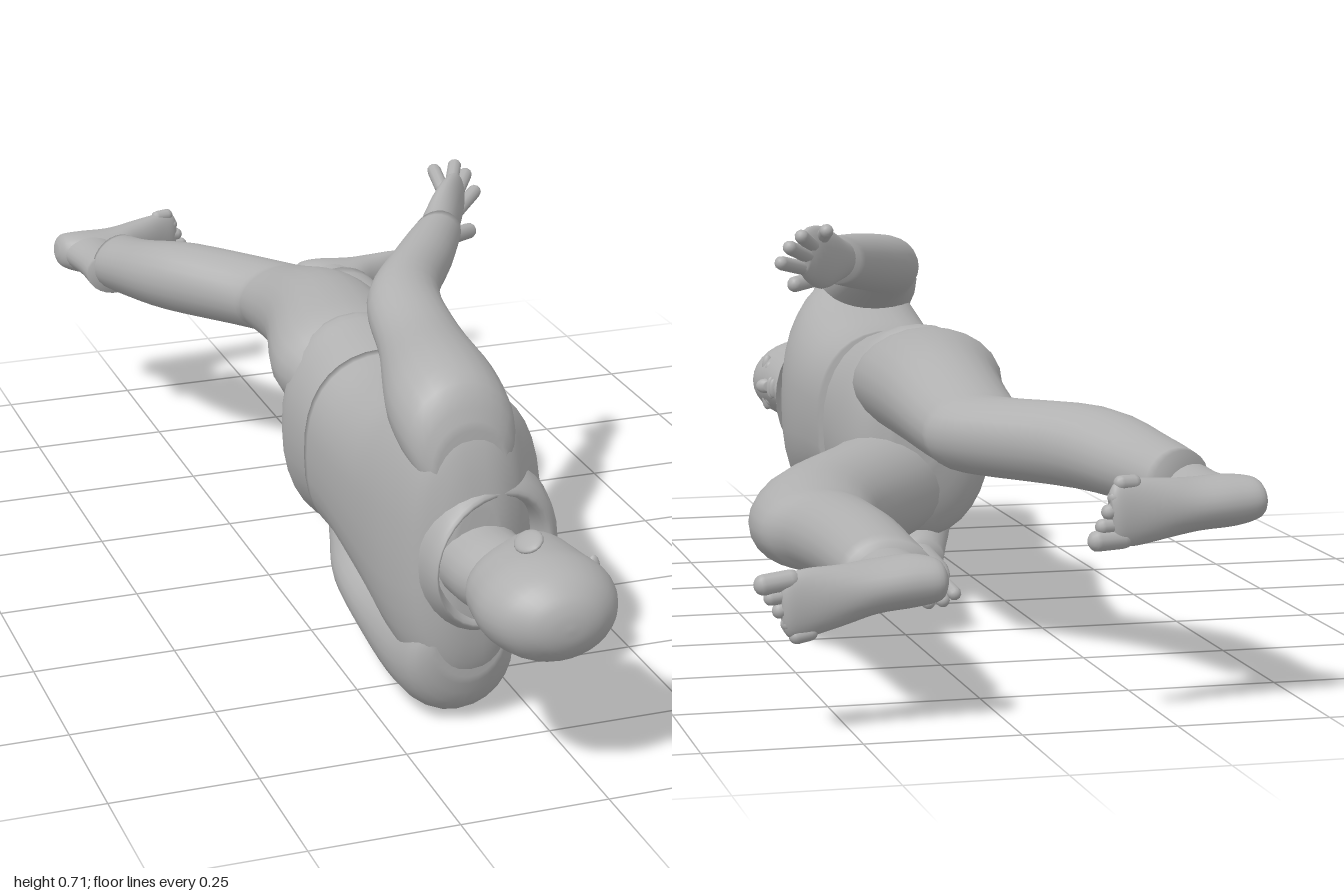
import * as THREE from 'three';

const grey = new THREE.MeshStandardMaterial({ color: 0xb0b0b0, side: THREE.DoubleSide });
grey.name = 'plain grey';

const V = (x, y, z) => new THREE.Vector3(x, y, z);

function add(parent, name, geometry) {
  const mesh = new THREE.Mesh(geometry, grey);
  mesh.name = name;
  parent.add(mesh);
  return mesh;
}

// Smooth skin through elliptical rings [x, y, z, r1, r2, tilt].
// axis 'z': r1 along x, r2 along y. axis 'x': r1 along y, r2 along z.
function loft(rings, { axis = 'z', caps = true, steps = 4, sides = 24, power = 1 } = {}) {
  const pos = [], idx = [];
  const n = (rings.length - 1) * steps;
  const at = (t, k) => {
    const i = Math.min(Math.floor(t), rings.length - 2), f = t - i;
    const p = j => rings[Math.max(0, Math.min(rings.length - 1, j))][k] || 0;
    const m0 = (p(i + 1) - p(i - 1)) / 2, m1 = (p(i + 2) - p(i)) / 2;
    const f2 = f * f, f3 = f2 * f;
    return (2 * f3 - 3 * f2 + 1) * p(i) + (f3 - 2 * f2 + f) * m0 + (3 * f2 - 2 * f3) * p(i + 1) + (f3 - f2) * m1;
  };
  const bend = c => Math.sign(c) * Math.pow(Math.abs(c), power);
  for (let r = 0; r <= n; r++) {
    const [x, y, z, a, b, tilt] = [0, 1, 2, 3, 4, 5].map(k => at(r / steps, k));
    for (let s = 0; s < sides; s++) {
      const w = s / sides * Math.PI * 2, c = bend(Math.cos(w)), d = bend(Math.sin(w));
      if (axis === 'z') pos.push(x + a * c, y + b * d, z + tilt * c);
      else pos.push(x, y + a * c, z + b * d);
      if (r < n) {
        const i = r * sides + s, j = r * sides + (s + 1) % sides;
        idx.push(i, j, i + sides, j, j + sides, i + sides);
      }
    }
  }
  if (caps) {
    for (const [row, e] of [[0, rings[0]], [n, rings[rings.length - 1]]]) {
      const centre = pos.length / 3;
      pos.push(e[0], e[1], e[2]);
      for (let s = 0; s < sides; s++) {
        const i = row * sides + s, j = row * sides + (s + 1) % sides;
        row ? idx.push(i, j, centre) : idx.push(j, i, centre);
      }
    }
  }
  // Turn the faces outward whichever way the rings run
  const dir = axis === 'z' ? rings[rings.length - 1][2] - rings[0][2] : rings[rings.length - 1][0] - rings[0][0];
  if (dir < 0) for (let i = 0; i < idx.length; i += 3) [idx[i], idx[i + 1]] = [idx[i + 1], idx[i]];
  const g = new THREE.BufferGeometry();
  g.setAttribute('position', new THREE.Float32BufferAttribute(pos, 3));
  g.setIndex(idx);
  g.computeVertexNormals();
  return g;
}

// Rounded rod between two points, for fingers and toes
function rod(parent, name, a, b, r) {
  const d = b.clone().sub(a);
  const mesh = add(parent, name, new THREE.CapsuleGeometry(r, Math.max(d.length() - r, 0.005), 4, 10));
  mesh.position.copy(a).addScaledVector(d, 0.5);
  mesh.quaternion.setFromUnitVectors(V(0, 1, 0), d.normalize());
}

function ball(parent, name, x, y, z, sx, sy, sz) {
  const mesh = add(parent, name, new THREE.SphereGeometry(1, 16, 12));
  mesh.position.set(x, y, z);
  mesh.scale.set(sx, sy, sz);
  return mesh;
}

// Foot with toes toward +x and sole toward -z; side gives the outer direction in y
function makeFoot(name, side) {
  const foot = new THREE.Group();
  foot.name = name;
  add(foot, 'footBody', loft([
    [-0.08, 0, -0.085, 0.012, 0.015], [-0.068, 0, -0.082, 0.032, 0.037], [-0.03, 0, -0.07, 0.041, 0.053],
    [0.03, side * 0.003, -0.071, 0.042, 0.054], [0.085, side * 0.008, -0.088, 0.047, 0.037],
    [0.14, side * 0.012, -0.1, 0.053, 0.024], [0.172, side * 0.014, -0.106, 0.05, 0.017],
    [0.185, side * 0.012, -0.107, 0.036, 0.01]], { axis: 'x' }));
  add(foot, 'ankle', loft([[-0.012, 0, 0.08, 0.056, 0.042], [-0.012, 0, 0.01, 0.053, 0.037], [-0.014, 0, -0.06, 0.058, 0.038]]));
  for (let i = 0; i < 5; i++) {
    const y = side * (-0.026 + i * 0.021), r = i ? 0.0125 : 0.017;
    rod(foot, 'toe', V(0.16 - i * 0.006, y, -0.102), V(0.217 - i * 0.012, y + side * 0.004, -0.107), r);
  }
  return foot;
}

export function createModel() {
  const man = new THREE.Group();
  man.name = 'lyingMan';

  // Jacket body and trouser seat
  add(man, 'torso', loft([
    [-0.09, 0.315, 0.185, 0.153, 0.174, -0.012], [-0.09, 0.315, 0.3, 0.156, 0.172], [-0.09, 0.313, 0.45, 0.16, 0.2],
    [-0.097, 0.312, 0.56, 0.151, 0.238], [-0.112, 0.312, 0.63, 0.124, 0.25], [-0.118, 0.312, 0.68, 0.098, 0.228],
    [-0.117, 0.31, 0.705, 0.067, 0.17], [-0.115, 0.31, 0.718, 0.04, 0.09]], { sides: 36, power: 0.82 }));
  add(man, 'trouserSeat', loft([
    [-0.09, 0.315, 0.22, 0.147, 0.167], [-0.095, 0.315, 0.12, 0.147, 0.188], [-0.1, 0.315, 0.05, 0.137, 0.196],
    [-0.09, 0.315, 0.01, 0.1, 0.14], [-0.08, 0.315, -0.01, 0.04, 0.06]], { sides: 32, power: 0.92 }));

  // Trouser legs, one trailing and one striding
  add(man, 'leftLeg', loft([
    [-0.1, 0.385, 0.16, 0.09, 0.06], [-0.104, 0.405, 0.08, 0.124, 0.088], [-0.105, 0.415, 0, 0.135, 0.1],
    [-0.08, 0.413, -0.2, 0.11, 0.093], [-0.083, 0.386, -0.38, 0.094, 0.073], [-0.1, 0.38, -0.44, 0.095, 0.068],
    [-0.225, 0.38, -0.6, 0.087, 0.07], [-0.285, 0.362, -0.74, 0.07, 0.059], [-0.309, 0.353, -0.825, 0.058, 0.053, -0.033]]));
  add(man, 'rightLeg', loft([
    [-0.08, 0.238, 0.16, 0.09, 0.06], [-0.03, 0.222, 0.08, 0.124, 0.088], [0.005, 0.215, 0, 0.13, 0.1],
    [0.145, 0.213, -0.2, 0.12, 0.093], [0.18, 0.217, -0.35, 0.106, 0.074], [0.168, 0.219, -0.43, 0.088, 0.072],
    [0.163, 0.225, -0.6, 0.08, 0.067], [0.168, 0.228, -0.83, 0.072, 0.055, 0.004]]));

  const leftFoot = makeFoot('leftFoot', 1);
  leftFoot.position.set(-0.318, 0.34, -0.866);
  leftFoot.rotation.set(0, 0.08, -0.1);
  const rightFoot = makeFoot('rightFoot', -1);
  rightFoot.position.set(0.182, 0.232, -0.843);
  rightFoot.rotation.z = -0.05;
  man.add(leftFoot, rightFoot);

  // Sleeves
  add(man, 'leftSleeve', loft([
    [-0.12, 0.46, 0.695, 0.06, 0.07], [-0.124, 0.505, 0.66, 0.092, 0.095], [-0.124, 0.54, 0.57, 0.098, 0.09],
    [-0.1, 0.57, 0.4, 0.075, 0.06], [-0.082, 0.605, 0.26, 0.066, 0.056], [-0.005, 0.625, 0.14, 0.058, 0.051],
    [0.058, 0.638, 0.045, 0.046, 0.044]]));
  add(man, 'rightSleeve', loft([
    [-0.12, 0.165, 0.695, 0.06, 0.07], [-0.124, 0.12, 0.66, 0.092, 0.097], [-0.124, 0.093, 0.57, 0.098, 0.091],
    [-0.14, 0.086, 0.4, 0.075, 0.063], [-0.14, 0.105, 0.25, 0.068, 0.05], [-0.11, 0.1, 0.1, 0.055, 0.044],
    [-0.085, 0.092, -0.02, 0.043, 0.037]]));

  // Hands: palm, then four fingers and a thumb as [root, tip]
  const hands = [
    ['leftHand', [[0.045, 0.637, 0.07, 0.034, 0.035], [0.07, 0.641, 0.02, 0.036, 0.042],
      [0.102, 0.649, -0.03, 0.032, 0.056], [0.132, 0.66, -0.075, 0.024, 0.049], [0.148, 0.665, -0.095, 0.012, 0.033]],
    [[V(0.125, 0.63, -0.06), V(0.2, 0.652, -0.136)], [V(0.13, 0.653, -0.07), V(0.188, 0.681, -0.155)],
      [V(0.125, 0.673, -0.07), V(0.166, 0.7, -0.155)], [V(0.105, 0.688, -0.055), V(0.112, 0.706, -0.122)],
      [V(0.09, 0.612, 0), V(0.16, 0.604, -0.055)]]],
    ['rightHand', [[-0.088, 0.092, 0.02, 0.032, 0.03], [-0.08, 0.09, -0.04, 0.036, 0.028],
      [-0.066, 0.085, -0.1, 0.051, 0.024], [-0.056, 0.08, -0.155, 0.047, 0.018], [-0.052, 0.078, -0.175, 0.03, 0.01]],
    [[V(-0.088, 0.08, -0.14), V(-0.095, 0.066, -0.232)], [V(-0.068, 0.08, -0.15), V(-0.064, 0.062, -0.268)],
      [V(-0.046, 0.081, -0.15), V(-0.035, 0.062, -0.278)], [V(-0.026, 0.082, -0.14), V(-0.006, 0.067, -0.258)],
      [V(-0.05, 0.095, -0.07), V(0.003, 0.108, -0.17)]]]];
  for (const [name, palm, fingers] of hands) {
    const hand = new THREE.Group();
    hand.name = name;
    add(hand, 'palm', loft(palm));
    fingers.forEach(([a, b], i) => rod(hand, i < 4 ? 'finger' : 'thumb', a, b, i < 4 ? 0.0125 : 0.0145));
    man.add(hand);
  }

  // Neck and head, facing +x
  add(man, 'neck', loft([[-0.11, 0.306, 0.62, 0.08, 0.075], [-0.108, 0.306, 0.71, 0.074, 0.066],
    [-0.1, 0.306, 0.77, 0.076, 0.064], [-0.085, 0.306, 0.84, 0.07, 0.055]]));
  const head = new THREE.Group();
  head.name = 'head';
  man.add(head);
  add(head, 'skull', loft([
    [-0.055, 0.306, 0.7, 0.03, 0.025], [-0.03, 0.306, 0.716, 0.05, 0.042], [-0.045, 0.306, 0.75, 0.076, 0.06],
    [-0.066, 0.306, 0.8, 0.103, 0.073], [-0.07, 0.306, 0.85, 0.111, 0.08], [-0.069, 0.306, 0.9, 0.115, 0.083],
    [-0.07, 0.306, 0.95, 0.098, 0.074], [-0.07, 0.306, 0.982, 0.066, 0.051], [-0.07, 0.306, 0.996, 0.035, 0.027],
    [-0.07, 0.306, 1.0, 0.005, 0.004]], { sides: 32 }));
  add(head, 'nose', loft([
    [0.032, 0.306, 0.86, 0.008, 0.008], [0.038, 0.306, 0.83, 0.013, 0.01],
    [0.039, 0.306, 0.808, 0.018, 0.015], [0.033, 0.306, 0.797, 0.01, 0.01]]));
  ball(head, 'upperLip', 0.032, 0.306, 0.777, 0.01, 0.023, 0.006);
  ball(head, 'lowerLip', 0.029, 0.306, 0.766, 0.01, 0.02, 0.006);
  ball(head, 'chin', 0.013, 0.306, 0.737, 0.022, 0.027, 0.022);
  for (const s of [-1, 1]) {
    ball(head, 'eye', 0.02, 0.306 + s * 0.032, 0.843, 0.011, 0.014, 0.007);
    ball(head, 'brow', 0.022, 0.306 + s * 0.032, 0.864, 0.012, 0.025, 0.009);
    const ear = ball(head, 'ear', -0.085, 0.306 + s * 0.092, 0.855, 0.024, 0.009, 0.033);
    ear.rotation.z = s * 0.5;
    ball(head, 'earLobe', -0.075, 0.306 + s * 0.082, 0.83, 0.011, 0.008, 0.013);
  }

  // Turned-down collar with two pointed flaps
  add(man, 'collar', loft([
    [-0.078, 0.306, 0.657, 0.132, 0.146, -0.035], [-0.08, 0.306, 0.695, 0.125, 0.13, -0.035],
    [-0.086, 0.306, 0.714, 0.11, 0.11, -0.035], [-0.092, 0.306, 0.68, 0.094, 0.092, -0.035]], { caps: false, sides: 32 }));
  for (const s of [-1, 1]) {
    const corner = (x, y, z) => V(x, 0.306 + s * y, z);
    const flap = new THREE.BufferGeometry().setFromPoints([
      corner(0.02, 0.075, 0.676), corner(0.035, 0.01, 0.658), corner(0.044, 0.06, 0.612), corner(0.014, 0.11, 0.64)]);
    flap.setIndex(s > 0 ? [0, 2, 1, 0, 3, 2] : [0, 1, 2, 0, 2, 3]);
    flap.computeVertexNormals();
    add(man, 'collarFlap', flap);
  }
  return man;
}
